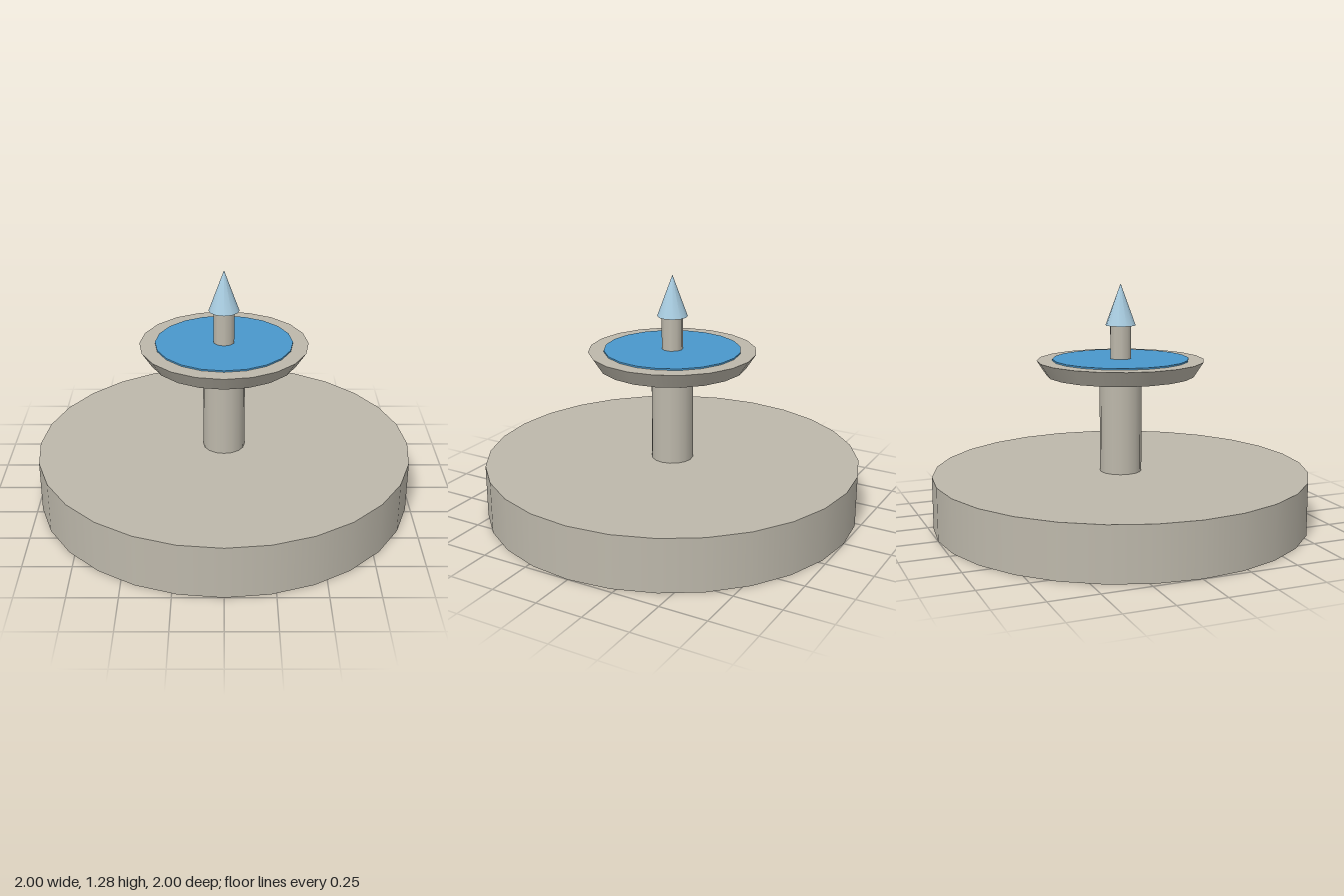
import * as THREE from 'three';

export function createModel() {
  const group = new THREE.Group();
  const material = (name, color) => {
    const m = new THREE.MeshStandardMaterial({ color });
    m.name = name;
    return m;
  };
  const stone = material('stone', 0xbdb8ab);
  const water = material('water', 0x4a98cc);
  const spray = material('paleSpray', 0xa8cce0);

  // Upright round part spanning y0 to y1
  const round = (name, mat, rTop, rBottom, y0, y1, sides) => {
    const mesh = new THREE.Mesh(new THREE.CylinderGeometry(rTop, rBottom, y1 - y0, sides), mat);
    mesh.name = name;
    mesh.position.y = (y0 + y1) / 2;
    group.add(mesh);
  };

  round('base', stone, 1, 1, 0, 0.28, 28);
  round('column', stone, 0.111, 0.111, 0.28, 0.8, 16);
  round('bowl', stone, 0.442, 0.39, 0.797, 0.877, 20);
  round('waterSurface', water, 0.36, 0.36, 0.876, 0.885, 20);
  round('spout', stone, 0.056, 0.056, 0.88, 1.065, 10);

  // Pointed jet on the spout
  const jet = new THREE.Mesh(new THREE.ConeGeometry(0.08, 0.218, 12), spray);
  jet.name = 'jet';
  jet.position.y = 1.06 + 0.109;
  group.add(jet);

  return group;
}
